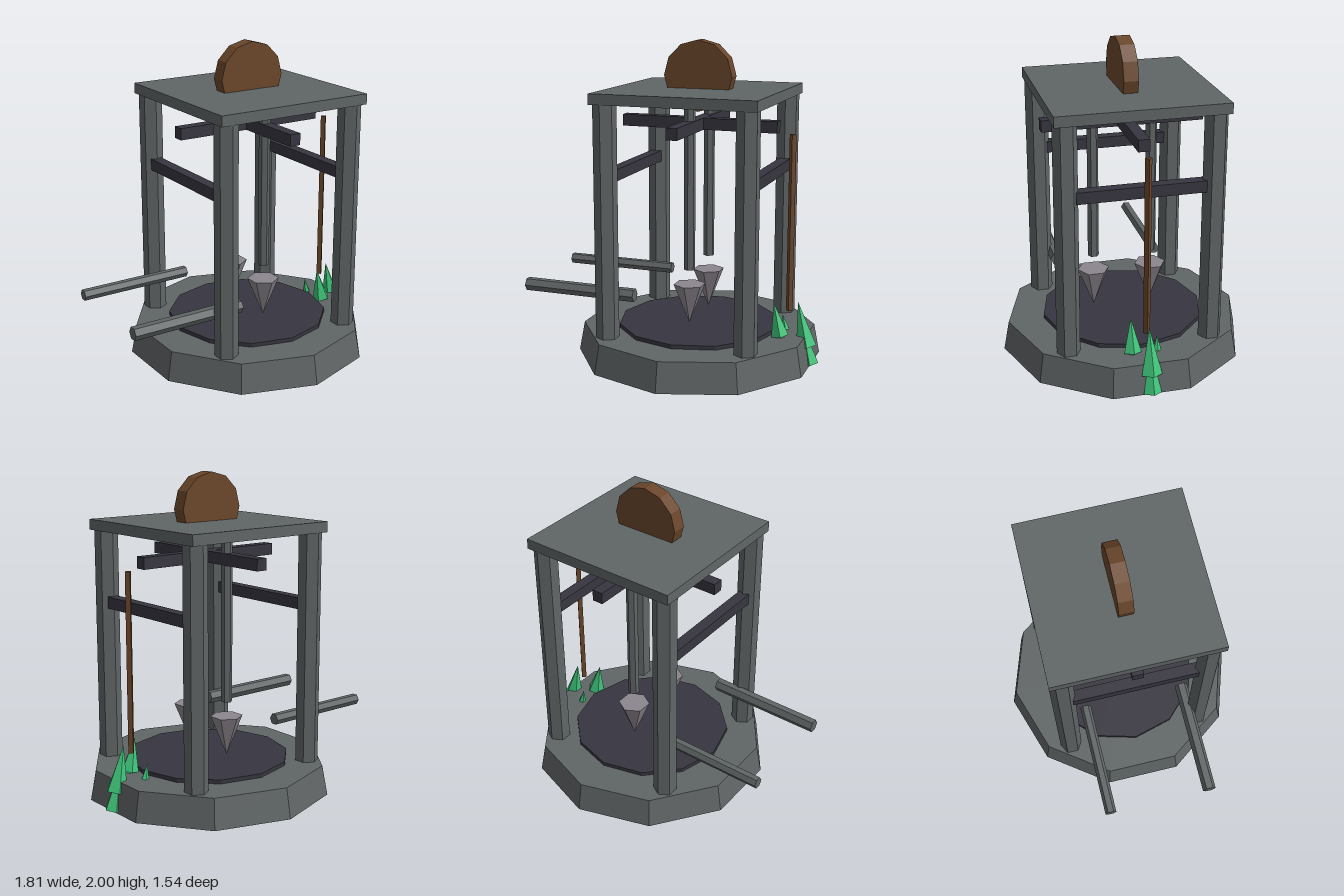
import * as THREE from 'three';

const mat = (name, color) => {
  const m = new THREE.MeshStandardMaterial({ color, flatShading: true });
  m.name = name;
  return m;
};

export function createModel() {
  const stone = mat('stone grey', 0x606566);
  const iron = mat('dark iron', 0x37353f);
  const wood = mat('brown wood', 0x6b472b);
  const steel = mat('pale steel', 0x8c868e);
  const crystal = mat('green crystal', 0x3fc47a);

  const model = new THREE.Group();
  model.name = 'shrine';
  const frame = new THREE.Group();
  frame.name = 'frame';
  frame.position.x = 0.123;
  model.add(frame);

  const add = (parent, name, geometry, material, x, y, z) => {
    const mesh = new THREE.Mesh(geometry, material);
    mesh.name = name;
    mesh.position.set(x, y, z);
    parent.add(mesh);
    return mesh;
  };
  const cyl = (rTop, rBottom, h, sides) => new THREE.CylinderGeometry(rTop, rBottom, h, sides);

  // Ten-sided base with a dark floor disc
  add(frame, 'base', cyl(0.735, 0.77, 0.185, 10), stone, 0, 0.1075, 0);
  add(frame, 'floorDisc', cyl(0.51, 0.51, 0.045, 12), iron, 0, 0.2025, 0);

  // Four pillars and the roof slab
  for (const sx of [-1, 1]) {
    for (const sz of [-1, 1]) {
      add(frame, 'pillar', cyl(0.072, 0.072, 1.46, 6), stone, sx * 0.442, 0.92, sz * 0.442);
    }
  }
  add(frame, 'roofSlab', new THREE.BoxGeometry(1.03, 0.065, 1.03), stone, 0, 1.6725, 0);

  // Wheel set into the roof
  add(frame, 'wheel', cyl(0.218, 0.218, 0.09, 12), wood, 0, 1.782, 0).rotation.x = Math.PI / 2;

  // Crossed upper beams and the lower side beams
  add(frame, 'crossBeam', new THREE.BoxGeometry(1.0, 0.072, 0.07), iron, 0, 1.49, 0);
  add(frame, 'crossBeam', new THREE.BoxGeometry(0.07, 0.072, 1.0), iron, 0, 1.49, 0);
  for (const s of [-1, 1]) {
    add(frame, 'sideBeam', new THREE.BoxGeometry(0.07, 0.072, 0.776), iron, s * 0.442, 1.197, 0);
  }

  // Hanging rods with a floating spike under each
  for (const s of [-1, 1]) {
    add(frame, 'hangingRod', cyl(0.035, 0.035, 1.035, 6), stone, 0, 1.1225, s * 0.184);
    add(frame, 'spike', cyl(0.1, 0, 0.25, 6), steel, 0, 0.387, s * 0.184);
  }

  // Horizontal arms reaching out to the right side
  for (const [z, r] of [[0.362, 0.0425], [-0.297, 0.036]]) {
    add(model, 'arm', cyl(r, r, 0.735, 6), stone, -0.5375, 0.458, z).rotation.z = Math.PI / 2;
  }

  // Thin upright pole
  add(model, 'pole', cyl(0.021, 0.021, 1.1, 4), wood, 0.713, 0.9, 0);

  // Leaning two-tier crystals: x, y, z, lower height, upper height, radius
  const crystals = [
    [0.847, 0.02, 0, 0.115, 0.285, 0.066],
    [0.715, 0.012, 0.077, 0.2, 0.21, 0.056],
    [0.71, 0.007, -0.08, 0.17, 0.122, 0.03],
  ];
  for (const [x, y, z, low, up, r] of crystals) {
    const g = new THREE.Group();
    g.name = 'crystalCluster';
    g.position.set(x, y, z);
    g.rotation.z = 0.2;
    model.add(g);
    for (const [name, geo, cy] of [
      ['lowerTier', cyl(r * 0.5, r * 0.88, low, 5), low / 2],
      ['upperTier', cyl(0, r, up, 5), low + up / 2],
    ]) {
      add(g, name, geo, crystal, 0, cy, 0).rotation.y = Math.PI / 2;
    }
  }

  return model;
}
